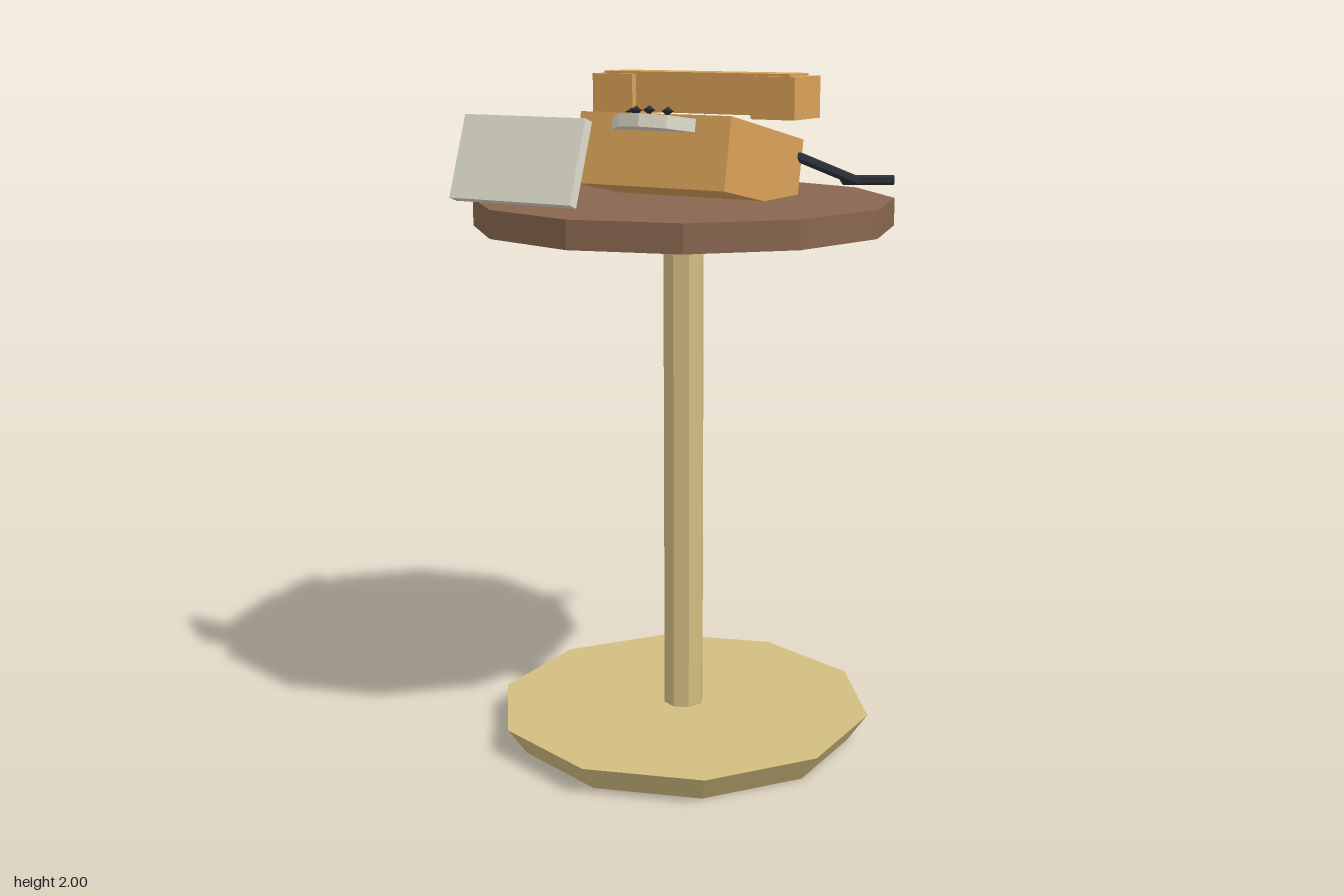
import * as THREE from 'three';

const material = (name, color) => {
  const m = new THREE.MeshStandardMaterial({ color, flatShading: true });
  m.name = name;
  return m;
};

export function createModel() {
  const wood = material('brown wood', 0x88674f);
  const brass = material('pale brass', 0xd2bd80);
  const orange = material('orange plastic', 0xdaa259);
  const cream = material('cream', 0xdedbcb);
  const black = material('dark grey', 0x2c2e36);

  const model = new THREE.Group();
  model.name = 'telephoneTable';

  const add = (parent, name, geometry, mat, x = 0, y = 0, z = 0) => {
    const mesh = new THREE.Mesh(geometry, mat);
    mesh.name = name;
    mesh.position.set(x, y, z);
    parent.add(mesh);
    return mesh;
  };
  const box = (w, h, d) => new THREE.BoxGeometry(w, h, d);

  // Pedestal table
  add(model, 'base', new THREE.CylinderGeometry(0.573, 0.515, 0.083, 10), brass, 0, 0.0415, 0);
  add(model, 'pole', new THREE.CylinderGeometry(0.061, 0.061, 1.49, 8), brass, 0, 0.825, 0);
  add(model, 'tableTop', new THREE.CylinderGeometry(0.613, 0.613, 0.08, 12), wood, 0, 1.604, 0);

  // Telephone body, tipped back and slightly sunk into the table
  const phone = new THREE.Group();
  phone.name = 'telephone';
  phone.position.set(0, 1.748, -0.04);
  phone.rotation.x = -0.2;
  model.add(phone);
  add(phone, 'body', box(0.49, 0.205, 0.455), orange);

  // Dial disc, its front edge protruding from the body
  const dialZ = 0.153;
  add(phone, 'dial', new THREE.CylinderGeometry(0.155, 0.155, 0.037, 12), cream, 0, 0.073, dialZ);

  // Ten number studs on a ring with a gap at the right front
  for (let i = 0; i < 10; i++) {
    const a = Math.PI / 6 * (i + 1);
    const stud = add(phone, 'dialStud', new THREE.OctahedronGeometry(0.02), black,
      0.103 * Math.cos(a), 0.108, dialZ - 0.104 * Math.sin(a));
    stud.scale.y = 0.65;
  }

  // Handset lying level above the body
  const handset = new THREE.Group();
  handset.name = 'handset';
  handset.position.set(0, 1.933, -0.121);
  model.add(handset);
  add(handset, 'handle', box(0.615, 0.117, 0.123), orange, 0, 0.0085, 0);
  for (const side of [-1, 1]) {
    add(handset, side > 0 ? 'leftCup' : 'rightCup', box(0.138, 0.119, 0.165), orange, side * 0.266, 0, 0);
  }

  // Kinked cord trailing off the back
  const points = [
    [0.235, 1.757, -0.255], [0.37, 1.682, -0.377], [0.285, 1.668, -0.497], [0.412, 1.668, -0.577],
  ].map((p) => new THREE.Vector3(...p));
  const cord = new THREE.Group();
  cord.name = 'cord';
  model.add(cord);
  for (let i = 0; i < 3; i++) {
    const dir = points[i + 1].clone().sub(points[i]);
    const mid = points[i].clone().addScaledVector(dir, 0.5);
    const extra = i < 2 ? 0.008 : 0;
    const segment = add(cord, 'cordSegment',
      new THREE.CylinderGeometry(0.0155, 0.0155, dir.length() + extra, 6), black, mid.x, mid.y, mid.z);
    segment.quaternion.setFromUnitVectors(new THREE.Vector3(0, 1, 0), dir.normalize());
  }

  // Leaning card at the front right of the table
  const card = add(model, 'card', box(0.406, 0.243, 0.034), cream, -0.288, 1.7695, 0.4085);
  card.rotation.x = -0.355;

  return model;
}
